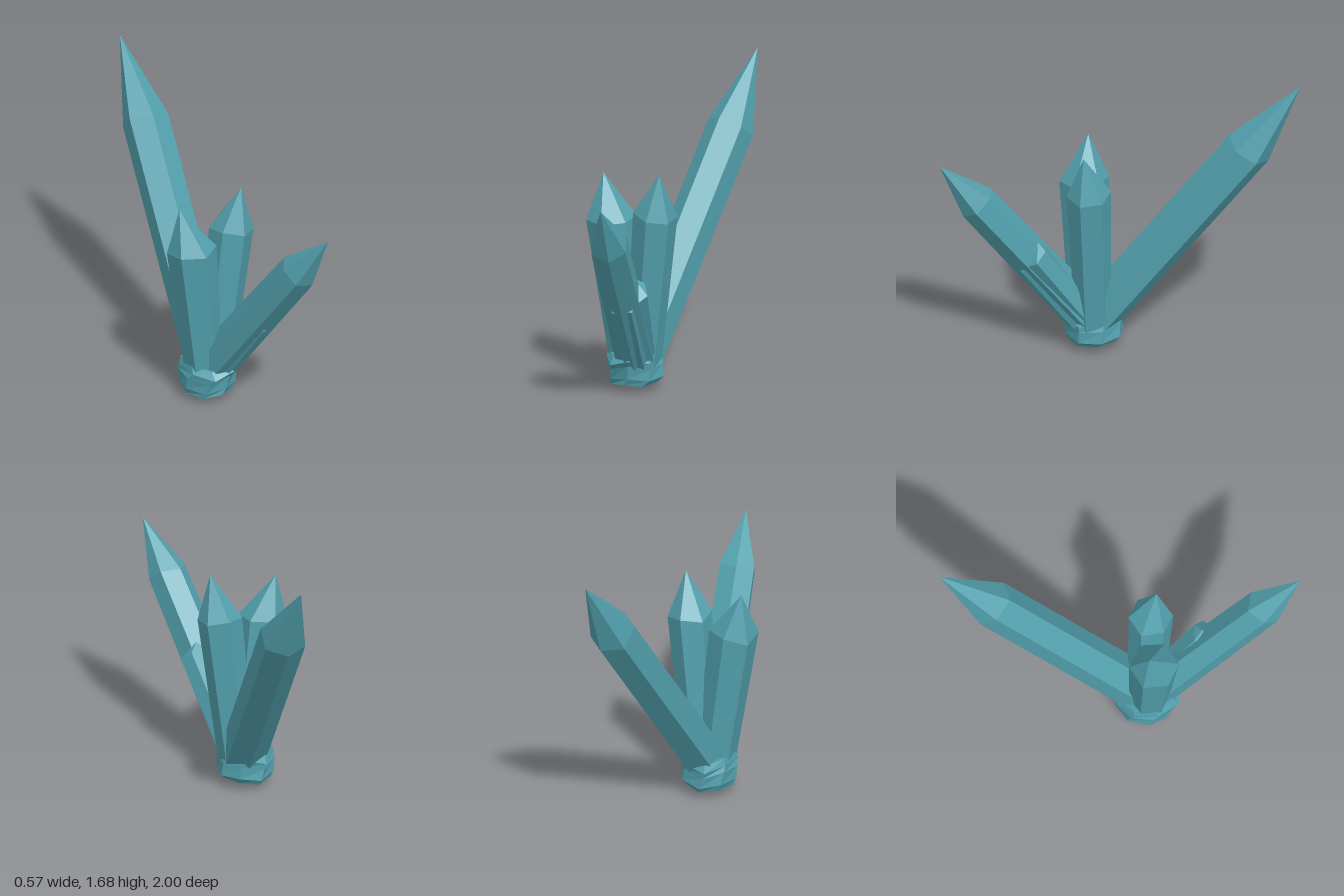
import * as THREE from 'three';

const V = (a) => new THREE.Vector3(...a);

// Skin a stack of rings (lists of Vector3, equal length) with flat faces
function loft(rings) {
  const pos = [];
  const tri = (a, b, c) => {
    if (a.equals(b) || b.equals(c) || a.equals(c)) return;
    for (const p of [a, b, c]) pos.push(p.x, p.y, p.z);
  };
  for (let r = 0; r < rings.length - 1; r++) {
    const lo = rings[r], hi = rings[r + 1], n = lo.length;
    for (let i = 0; i < n; i++) {
      const j = (i + 1) % n;
      tri(lo[i], lo[j], hi[j]);
      tri(lo[i], hi[j], hi[i]);
    }
  }
  const g = new THREE.BufferGeometry();
  g.setAttribute('position', new THREE.Float32BufferAttribute(pos, 3));
  g.computeVertexNormals();
  return g;
}

// Six-sided crystal: base centre, shoulder centre and tip, with a twist in degrees
function crystal({ base, shoulder, tip, r0, r1, twist }) {
  const b = V(base), s = V(shoulder), t = V(tip);
  const axis = s.clone().sub(b).normalize();
  const u = new THREE.Vector3(1, 0, 0);
  u.addScaledVector(axis, -u.dot(axis)).normalize();
  const v = axis.clone().cross(u);
  const ring = (c, r, wobble) => Array.from({ length: 6 }, (_, i) => {
    const a = THREE.MathUtils.degToRad(twist + 60 * i);
    return c.clone()
      .addScaledVector(u, r * Math.cos(a))
      .addScaledVector(v, r * Math.sin(a))
      .addScaledVector(axis, wobble * Math.sin(i * 2.4));
  });
  const point = (p) => Array(6).fill(p);
  return loft([point(b), ring(b, r0, 0), ring(s, r1, 0.015), point(t)]);
}

export function createModel() {
  const model = new THREE.Group();
  model.name = 'crystalCluster';
  const teal = new THREE.MeshStandardMaterial({ color: 0x52a0ad, flatShading: true });
  teal.name = 'teal crystal';
  const add = (name, geometry) => {
    const mesh = new THREE.Mesh(geometry, teal);
    mesh.name = name;
    model.add(mesh);
  };

  // Four large crystals fanning out of the base
  add('backCrystal', crystal({
    base: [-0.01, 0.17, 0.12], shoulder: [0.165, 1.29, -0.715], tip: [0.2, 1.68, -1],
    r0: 0.13, r1: 0.132, twist: 20,
  }));
  add('frontCrystal', crystal({
    base: [-0.01, 0.19, 0.16], shoulder: [0.115, 1.02, 0.79], tip: [0.16, 1.28, 1],
    r0: 0.12, r1: 0.11, twist: -12,
  }));
  add('rightCrystal', crystal({
    base: [-0.05, 0.12, 0.14], shoulder: [-0.16, 0.97, 0.16], tip: [-0.22, 1.22, 0.13],
    r0: 0.11, r1: 0.138, twist: 30,
  }));
  add('leftCrystal', crystal({
    base: [0.02, 0.12, 0.13], shoulder: [0.11, 1.02, 0.165], tip: [0.15, 1.27, 0.2],
    r0: 0.1, r1: 0.124, twist: 30,
  }));

  // Small blunt crystals grown against the front one
  add('sideShard', crystal({
    base: [0.03, 0.18, 0.15], shoulder: [0.115, 0.66, 0.47], tip: [0.11, 0.74, 0.45],
    r0: 0.075, r1: 0.085, twist: 0,
  }));
  add('frontShard', crystal({
    base: [0, 0.17, 0.17], shoulder: [0.06, 0.62, 0.49], tip: [0.06, 0.68, 0.53],
    r0: 0.1, r1: 0.105, twist: 17,
  }));

  // Chipped rock the crystals grow from: [y, centre x, centre z, radius x, radius z, turn, chip]
  const N = 8;
  const rows = [
    [0.0, -0.03, 0.1, 0, 0, 0, 0],
    [0.045, -0.035, 0.125, 0.135, 0.15, 0, 0.008],
    [0.08, -0.025, 0.118, 0.16, 0.165, 0.1, 0.012],
    [0.15, -0.03, 0.125, 0.158, 0.17, 0.2, 0.02],
    [0.185, -0.03, 0.135, 0.15, 0.19, 0.3, 0.02],
    [0.225, -0.03, 0.125, 0.14, 0.16, 0.3, 0.015],
    [0.21, -0.03, 0.125, 0, 0, 0, 0],
  ];
  add('rockBase', loft(rows.map(([y, cx, cz, rx, rz, turn, chip]) =>
    Array.from({ length: N }, (_, i) => {
      const a = (i / N) * Math.PI * 2 + turn;
      return new THREE.Vector3(
        cx + rx * Math.cos(a),
        y + chip * Math.sin(i * 2.3),
        cz - rz * Math.sin(a));
    }))));

  return model;
}
